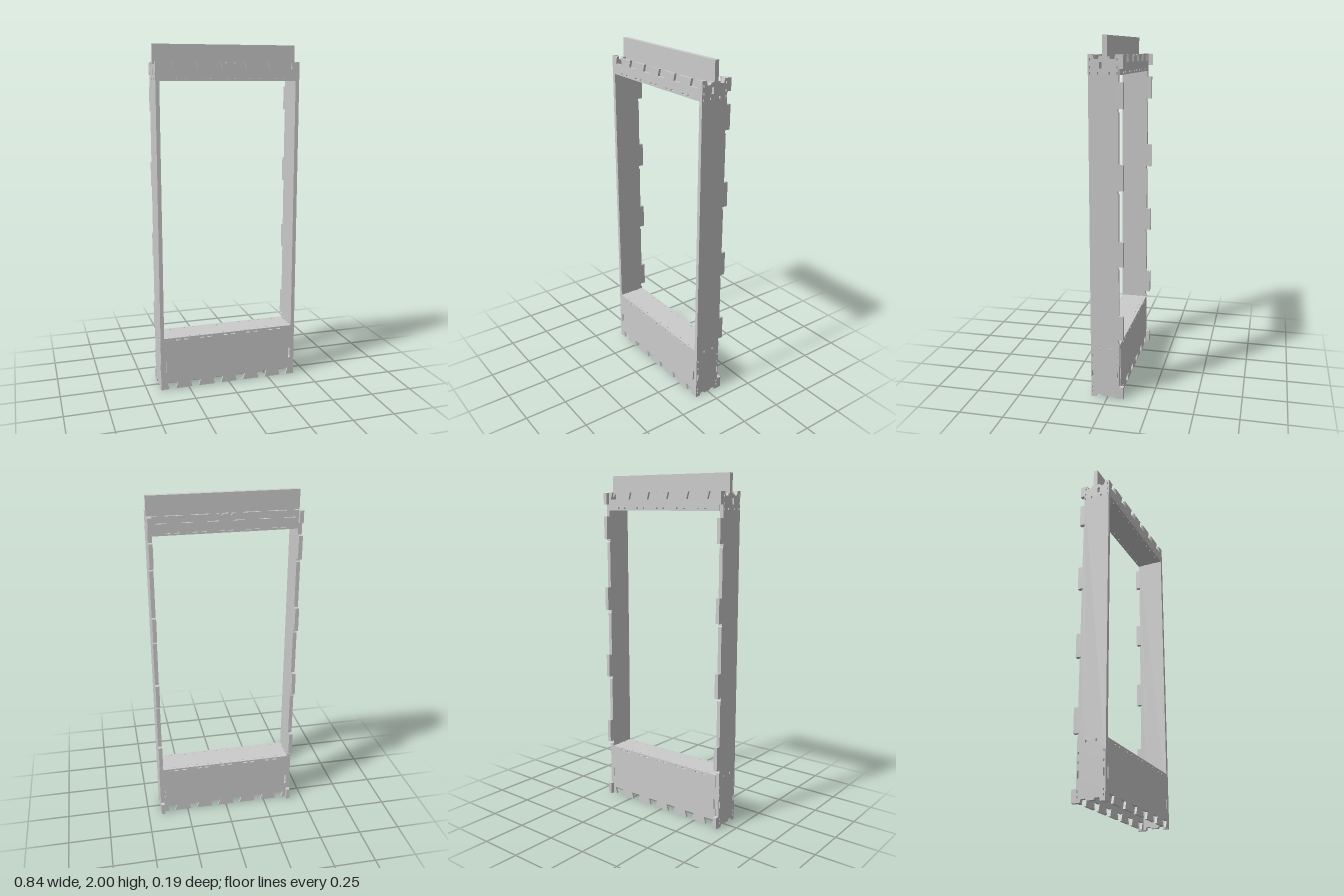
import * as THREE from 'three';

const material = new THREE.MeshStandardMaterial({ color: 0xcccccc, flatShading: true });
const HALF_W = 0.42, INNER = 0.398, FRONT = 0.093, BACK = -0.071, SKIN = 0.013;
const JOINTS = [-0.35, -0.21, -0.07, 0.07, 0.21, 0.35];
const SLOTS = [-0.29, -0.145, 0, 0.145, 0.29];

function rectHole(shape, x, y, w, h) {
  const p = new THREE.Path();
  p.moveTo(x - w / 2, y - h / 2);
  p.lineTo(x - w / 2, y + h / 2);
  p.lineTo(x + w / 2, y + h / 2);
  p.lineTo(x + w / 2, y - h / 2);
  p.closePath();
  shape.holes.push(p);
}

const toShape = pts => new THREE.Shape(pts.map(p => new THREE.Vector2(...p)));
const extrude = (shape, depth) => new THREE.ExtrudeGeometry(shape, { depth, bevelEnabled: false });

// Dovetail notch, wider at its floor, walked in the direction dir (+1 or -1)
function dovetail(c, edge, floor, dir, mouth = 0.02, wide = 0.032) {
  return [[c - dir * mouth, edge], [c - dir * wide, floor], [c + dir * wide, floor], [c + dir * mouth, edge]];
}

// Apron: jagged bottom edge, notched ends, small slots at the sill
function apronShape() {
  const pts = [[-INNER, 0.002]];
  JOINTS.forEach(c => pts.push(...dovetail(c, 0.002, 0.042, 1)));
  pts.push([INNER, 0.002], [INNER, 0.115], [0.385, 0.108], [0.385, 0.175], [INNER, 0.168], [INNER, 0.32],
    [-INNER, 0.32], [-INNER, 0.168], [-0.385, 0.175], [-0.385, 0.108], [-INNER, 0.115]);
  const s = toShape(pts);
  SLOTS.forEach(c => [-0.024, 0.024].forEach(d => rectHole(s, c + d, 0.307, 0.026, 0.007)));
  return s;
}

// Header: jagged top edge with small slots at the soffit
function headerShape() {
  const pts = [[-INNER, 1.8], [INNER, 1.8], [INNER, 1.903]];
  [...JOINTS].reverse().forEach((c, i) => {
    pts.push(...dovetail(c, 1.903, 1.863, -1));
    if (i === 2) pts.push([0.036, 1.903], [0.026, 1.893], [0.014, 1.903], [-0.014, 1.903], [-0.026, 1.893], [-0.036, 1.903]);
  });
  pts.push([-INNER, 1.903]);
  const s = toShape(pts);
  SLOTS.forEach(c => [-0.024, 0.024].forEach(d => rectHole(s, c + d, 1.813, 0.026, 0.007)));
  return s;
}

// Side post outline, drawn with the horizontal axis pointing to the back
function postShape() {
  const f = -FRONT, b = -BACK - 0.003, tab = 0.093;
  const pts = [[f, 0], [-0.065, 0], [-0.06, 0.018], [-0.035, 0.018], [-0.03, 0.008],
    [0.01, 0.008], [0.015, 0.018], [0.04, 0.018], [0.045, 0], [tab, 0], [tab, 0.07]];
  [[0.355, 0.495], [0.78, 0.92], [1.2, 1.34], [1.63, 1.765]].forEach(([lo, hi]) => {
    pts.push([b, pts[pts.length - 1][1]]);
    pts.push([b, lo - 0.02], [b - 0.005, lo - 0.014], [b - 0.005, lo], [tab, lo], [tab, hi]);
  });
  pts.push([b, 1.765], [b, 1.833], [tab, 1.833], [tab, 1.902], [0.052, 1.902], [0.046, 1.88], [0.025, 1.88], [0.02, 1.892],
    [-0.035, 1.892], [-0.04, 1.88], [-0.06, 1.88], [-0.068, 1.905], [f, 1.905]);
  const s = toShape(pts);
  // peg holes beside the cross boards and aprons
  [0.03, 0.055, 0.2, 0.25, 1.81, 1.84, 1.88].forEach(y =>
    [-0.083, 0.06].forEach(z => rectHole(s, z, y, 0.006, 0.012)));
  [-0.083, 0.06].forEach(z => rectHole(s, z, 0.14, 0.008, 0.04));
  [0.307, 1.81].forEach(y => [-0.04, 0.02].forEach(z => rectHole(s, z, y, 0.008, 0.012)));
  rectHole(s, -0.026, 1.85, 0.014, 0.034);
  return s;
}

// Horizontal cross board with relief cuts along both long edges and the ends
function crossShape() {
  const z0 = BACK + SKIN, z1 = FRONT - SKIN, cuts = [-0.327, -0.24, -0.18, -0.11, -0.035, 0.035, 0.11, 0.18, 0.24, 0.327];
  const cut = (x, z, d, dir) => [[x - dir * 0.005, z], [x - dir * 0.005, z + d], [x + dir * 0.005, z + d], [x + dir * 0.005, z]];
  const pts = [[-INNER, z0]];
  cuts.forEach(x => pts.push(...cut(x, z0, 0.005, 1)));
  pts.push([INNER, z0]);
  [-0.022, 0.04].forEach(z => pts.push([INNER, z - 0.005], [INNER - 0.006, z - 0.005], [INNER - 0.006, z + 0.005], [INNER, z + 0.005]));
  pts.push([INNER, z1]);
  [...cuts].reverse().forEach(x => pts.push(...cut(x, z1, -0.005, -1)));
  pts.push([-INNER, z1]);
  [0.04, -0.022].forEach(z => pts.push([-INNER, z + 0.005], [-INNER + 0.006, z + 0.005], [-INNER + 0.006, z - 0.005], [-INNER, z - 0.005]));
  return toShape(pts);
}

export function createModel() {
  const model = new THREE.Group();
  const add = (name, geometry, x = 0, y = 0, z = 0) => {
    const mesh = new THREE.Mesh(geometry, material);
    mesh.name = name;
    mesh.position.set(x, y, z);
    model.add(mesh);
  };

  // Front and back skins
  const apron = extrude(apronShape(), SKIN), header = extrude(headerShape(), SKIN);
  [['front', FRONT - SKIN], ['back', BACK]].forEach(([side, z]) => {
    add(side + 'Apron', apron, 0, 0, z);
    add(side + 'Header', header, 0, 0, z);
  });

  // Side posts
  const post = extrude(postShape(), HALF_W - INNER).rotateY(Math.PI / 2);
  add('leftPost', post, INNER);
  add('rightPost', post, -HALF_W);

  // Sill and soffit
  const cross = extrude(crossShape(), 0.018).rotateX(Math.PI / 2);
  add('sill', cross, 0, 0.32);
  add('soffit', cross, 0, 1.818);

  // Upright top board, resting over the posts
  const board = toShape([[-INNER, 1.818], [INNER, 1.818], [INNER, 1.892], [HALF_W, 1.892],
    [HALF_W, 2], [-HALF_W, 2], [-HALF_W, 1.892], [-INNER, 1.892]]);
  add('topBoard', extrude(board, 0.025), 0, 0, -0.009);
  return model;
}
